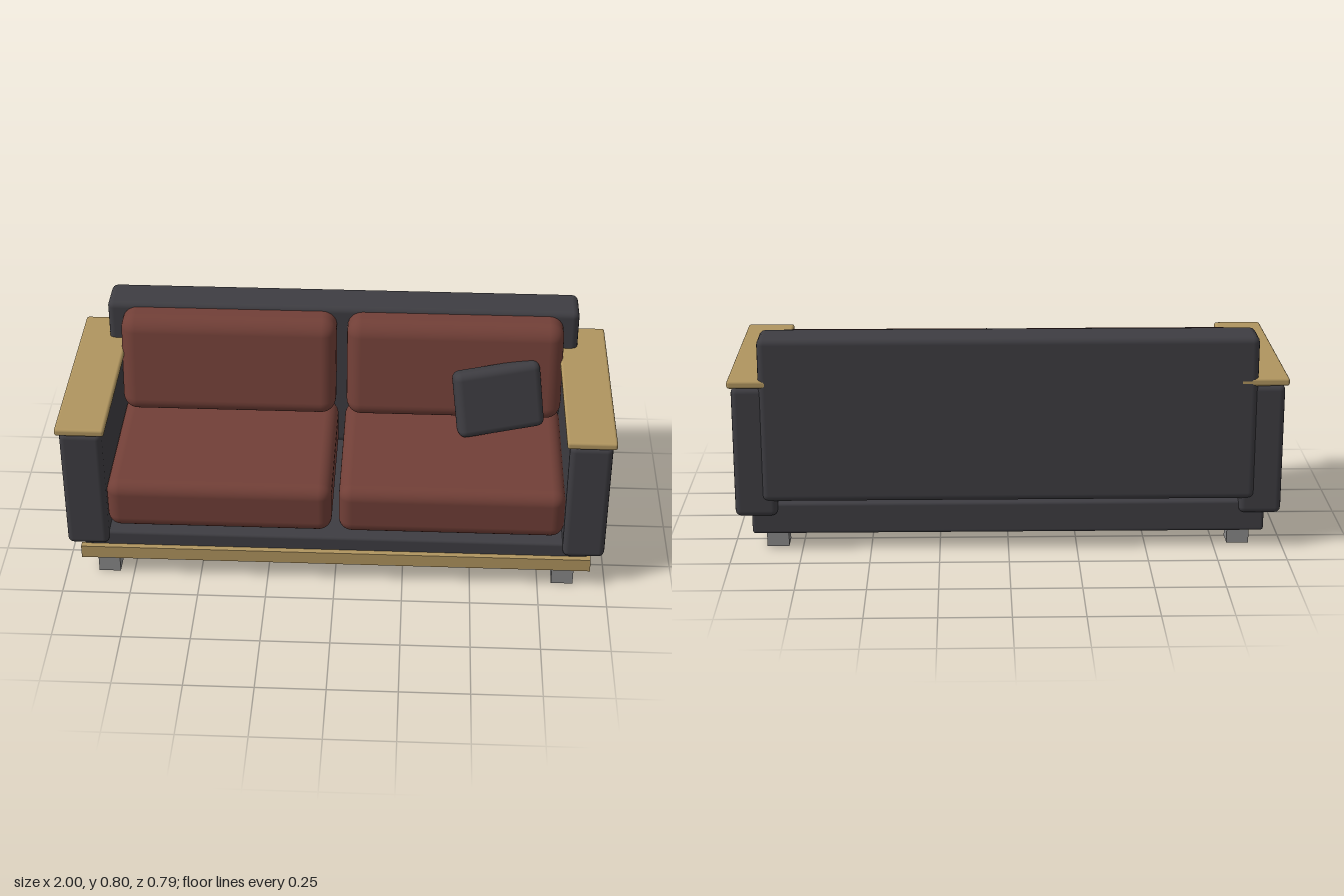
import * as THREE from 'three';
import { RoundedBoxGeometry } from 'three/addons/geometries/RoundedBoxGeometry.js';

const material = (name, color) => {
  const m = new THREE.MeshStandardMaterial({ color });
  m.name = name;
  return m;
};

export function createModel() {
  const sofa = new THREE.Group();
  sofa.name = 'sofa';
  const charcoal = material('charcoal fabric', 0x3e3d42);
  const russet = material('russet fabric', 0x713f37);
  const oak = material('oak wood', 0xb0955f);
  const metal = material('grey metal', 0x8a8a8a);

  // Box given by its [min, max] on each axis, rounded when radius > 0
  const block = (name, mat, [x0, x1], [y0, y1], [z0, z1], radius = 0, segments = 2) => {
    const size = [x1 - x0, y1 - y0, z1 - z0];
    const geo = radius ? new RoundedBoxGeometry(...size, segments, radius) : new THREE.BoxGeometry(...size);
    const mesh = new THREE.Mesh(geo, mat);
    mesh.name = name;
    mesh.position.set((x0 + x1) / 2, (y0 + y1) / 2, (z0 + z1) / 2);
    sofa.add(mesh);
    return mesh;
  };

  // Frame: base, front rail and backrest
  block('base', charcoal, [-0.93, 0.93], [0.062, 0.18], [-0.366, 0.366], 0.012);
  block('frontRail', oak, [-0.94, 0.94], [0.075, 0.125], [0.362, 0.388]);
  block('backrest', charcoal, [-0.89, 0.89], [0.193, 0.802], [-0.396, -0.24], 0.025);

  for (const side of [-1, 1]) {
    const label = side > 0 ? 'left' : 'right';
    const span = (a, b) => (side > 0 ? [a, b] : [-b, -a]);

    // Arm with its wooden cap
    block(label + 'Arm', charcoal, span(0.835, 0.988), [0.135, 0.62], [-0.386, 0.388], 0.022);
    block(label + 'ArmCap', oak, span(0.822, 1.0), [0.62, 0.649], [-0.396, 0.398], 0.01);

    // Feet
    block(label + 'FrontFoot', metal, span(0.802, 0.882), [0, 0.065], [0.29, 0.368]);
    block(label + 'BackFoot', metal, span(0.802, 0.882), [0, 0.065], [-0.326, -0.247], 0);

    // Seat cushion
    block(label + 'SeatCushion', russet, span(0.013, 0.836), [0.205, 0.4], [-0.25, 0.38], 0.048, 4);

    // Back cushion, sheared so that it leans backwards
    const cushion = block(label + 'BackCushion', russet, span(0.02, 0.832), [0.41, 0.785], [-0.265, -0.114], 0.055, 4);
    cushion.geometry.applyMatrix4(new THREE.Matrix4().set(
      1, 0, 0, 0,
      0, 1, 0, 0,
      0, -0.17, 1, 0,
      0, 0, 0, 1));
  }

  // Loose pillow leaning on the left back cushion
  const pillow = block('loosePillow', charcoal, [-0.165, 0.165], [-0.128, 0.128], [-0.04, 0.04], 0.028, 3);
  pillow.rotation.set(-0.25, 0.23, 0.06, 'YXZ');
  pillow.position.set(0.592, 0.53, -0.065);

  return sofa;
}
